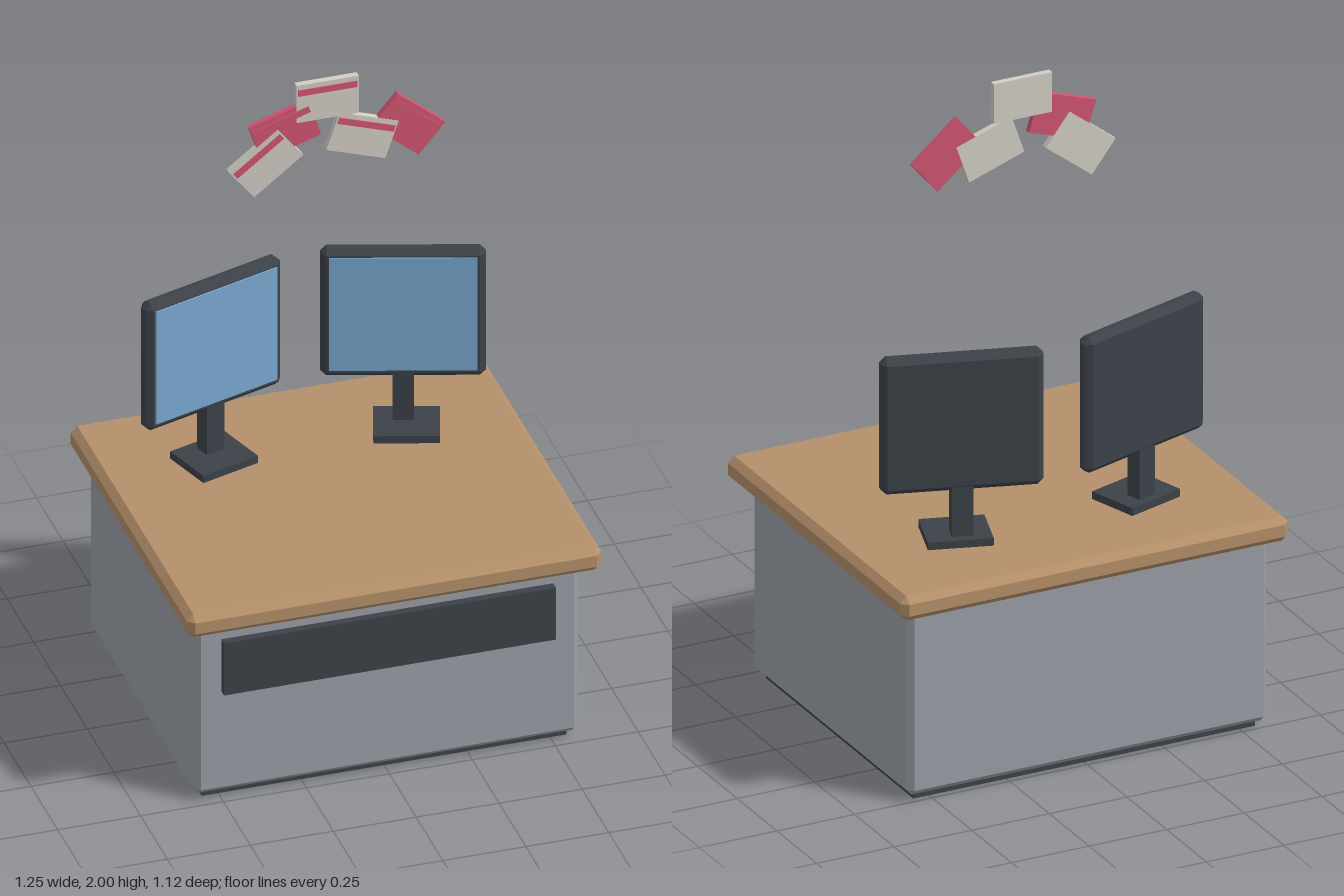
import * as THREE from 'three';
import { ConvexGeometry } from 'three/addons/geometries/ConvexGeometry.js';

const mat = (name, color) => {
  const m = new THREE.MeshStandardMaterial({ color });
  m.name = name;
  return m;
};

// Box with every edge cut by a flat chamfer
function chamferBox(w, h, d, c) {
  const points = [];
  for (const x of [-1, 1]) for (const y of [-1, 1]) for (const z of [-1, 1]) {
    const X = w / 2, Y = h / 2, Z = d / 2;
    points.push(
      new THREE.Vector3(x * X, y * (Y - c), z * (Z - c)),
      new THREE.Vector3(x * (X - c), y * Y, z * (Z - c)),
      new THREE.Vector3(x * (X - c), y * (Y - c), z * Z));
  }
  return new ConvexGeometry(points);
}

const box = (w, h, d) => new THREE.BoxGeometry(w, h, d);

function add(parent, name, geometry, material, x, y, z) {
  const mesh = new THREE.Mesh(geometry, material);
  mesh.name = name;
  mesh.position.set(x, y, z);
  parent.add(mesh);
  return mesh;
}

export function createModel() {
  const wood = mat('wood', 0xb5906a);
  const grey = mat('cabinet grey', 0x9a9ea6);
  const dark = mat('dark plastic', 0x3c4249);
  const blue = mat('screen blue', 0x78a8d0);
  const cream = mat('paper cream', 0xd2cec5);
  const pink = mat('paper pink', 0xd05472);

  const model = new THREE.Group();
  model.name = 'deskWithMonitors';

  // Desk
  const desk = new THREE.Group();
  desk.name = 'desk';
  model.add(desk);
  add(desk, 'plinth', box(1.1, 0.04, 0.93), dark, 0, 0.02, -0.015);
  add(desk, 'cabinet', chamferBox(1.16, 0.59, 0.99, 0.018), grey, 0, 0.315, -0.015);
  add(desk, 'frontPanel', box(1, 0.175, 0.04), dark, 0, 0.448, 0.485);
  add(desk, 'deskTop', chamferBox(1.25, 0.077, 1.125, 0.02), wood, 0, 0.6375, 0);

  // Two monitors turned towards the middle
  for (const side of [-1, 1]) {
    const monitor = new THREE.Group();
    monitor.name = side < 0 ? 'rightMonitor' : 'leftMonitor';
    monitor.position.x = side * 0.29;
    model.add(monitor);
    const parts = [
      add(monitor, 'base', box(0.192, 0.025, 0.165), dark, 0, 0.6875, -0.24),
      add(monitor, 'neck', box(0.062, 0.18, 0.05), dark, 0, 0.775, -0.272),
      add(monitor, 'frame', chamferBox(0.476, 0.428, 0.055, 0.018), dark, 0, 1.056, -0.273),
      add(monitor, 'screen', box(0.426, 0.378, 0.006), blue, -side * 0.0085, 1.059, -0.2455),
    ];
    for (const part of parts) part.rotation.y = -side * 0.305;
  }

  // Fan of striped cards hanging above: [x, y, tilt, colour]
  const cards = [
    [-0.188, 1.756, 0.66, cream],
    [-0.13, 1.853, 0.32, pink],
    [-0.002, 1.937, 0, cream],
    [0.103, 1.796, -0.33, cream],
    [0.241, 1.807, -0.7, pink],
  ];
  const fan = new THREE.Group();
  fan.name = 'cardFan';
  fan.position.z = -0.081;
  model.add(fan);
  for (const [x, y, tilt, paper] of cards) {
    const card = new THREE.Group();
    card.name = 'card';
    card.position.set(x, y, 0);
    card.rotation.z = tilt;
    fan.add(card);
    // cream cards are slightly thicker so they cover the pink ones
    add(card, 'paper', box(0.188, 0.125, paper === cream ? 0.02 : 0.018), paper, 0, 0, 0);
    add(card, 'stripe', box(0.178, 0.02, 0.004), pink, 0, 0.037, 0.011);
  }
  return model;
}
